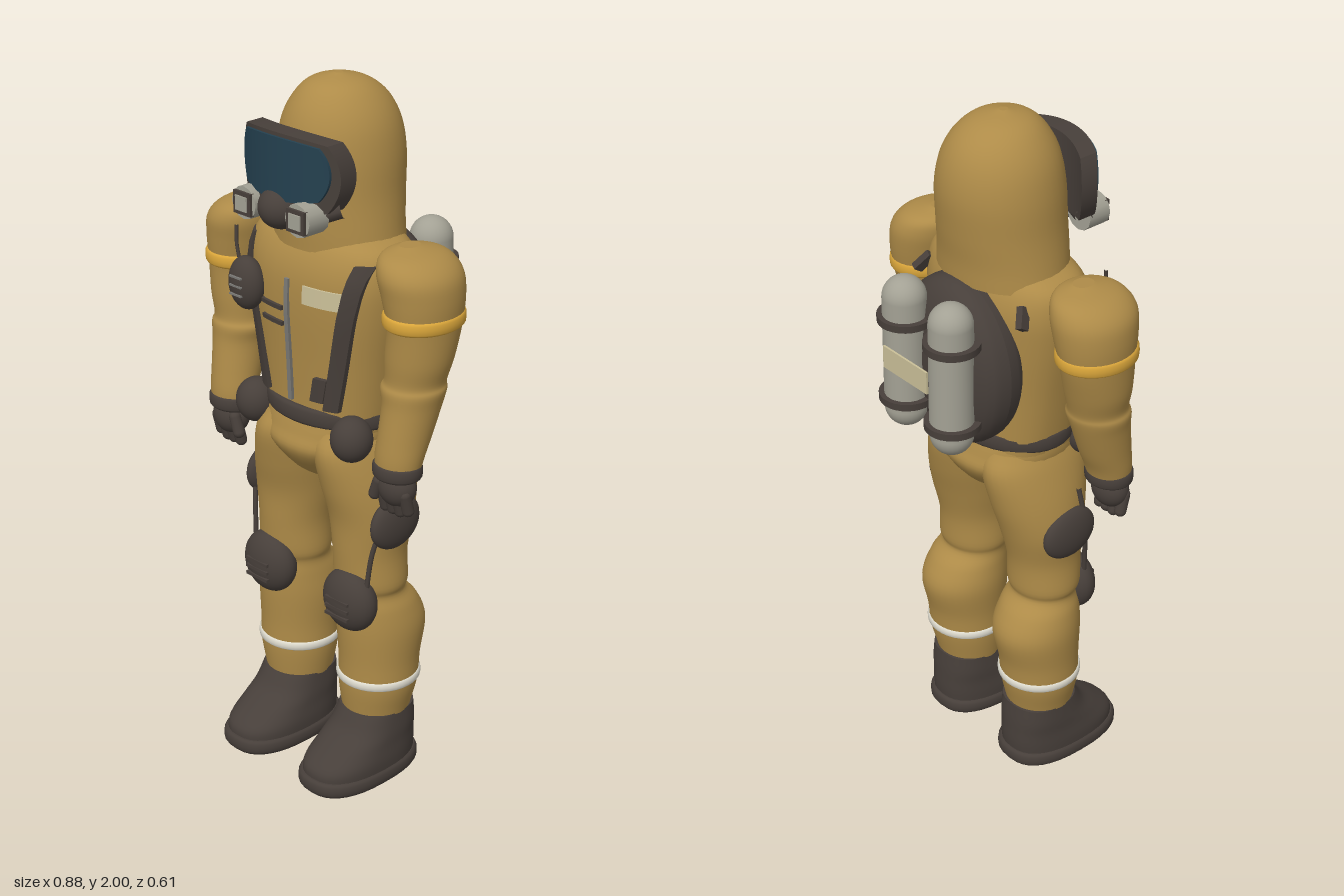
import * as THREE from 'three';

const mat = (name, color) => Object.assign(new THREE.MeshStandardMaterial({ color }), { name });

// Smooth body lofted through elliptical sections [y, cx, cz, rx, rz]; n squares off the ellipse
function loft(sections, n = 2, seg = 36, steps = 5) {
  const curve = (f) => new THREE.CatmullRomCurve3(sections.map(f), false, 'catmullrom');
  const centre = curve((s) => new THREE.Vector3(s[1], s[0], s[2]));
  const radius = curve((s) => new THREE.Vector3(s[3], 0, s[4]));
  const count = (sections.length - 1) * steps;
  const rings = [];
  for (let i = 0; i <= count; i++) rings.push([centre.getPoint(i / count), radius.getPoint(i / count)]);
  // flat ends
  const zero = new THREE.Vector3();
  const first = rings[0], last = rings[count];
  rings.unshift([first[0], zero], first);
  rings.push(last, [last[0], zero]);
  const pos = [], idx = [];
  const pow = (v) => Math.sign(v) * Math.abs(v) ** (2 / n);
  rings.forEach(([c, r], i) => {
    for (let j = 0; j < seg; j++) {
      const a = (j / seg) * Math.PI * 2;
      pos.push(c.x + r.x * pow(Math.cos(a)), c.y, c.z + r.z * pow(Math.sin(a)));
      if (i === rings.length - 1) continue;
      const p = i * seg + j, q = i * seg + ((j + 1) % seg);
      idx.push(p, p + seg, q, q, p + seg, q + seg);
    }
  });
  const g = new THREE.BufferGeometry();
  g.setAttribute('position', new THREE.Float32BufferAttribute(pos, 3));
  g.setIndex(idx);
  g.computeVertexNormals();
  return g;
}

// Moves every vertex of a geometry by a rule
function warp(g, rule) {
  const p = g.attributes.position, v = new THREE.Vector3();
  for (let i = 0; i < p.count; i++) {
    rule(v.fromBufferAttribute(p, i));
    p.setXYZ(i, v.x, v.y, v.z);
  }
  g.computeVertexNormals();
  return g;
}

// Rounded panel that curves back to the sides
const bentPanel = (w, h, d, bend) => warp(new THREE.BoxGeometry(2, 2, 1, 24, 16, 1), (v) => {
  const x = v.x * Math.sqrt(1 - 0.3 * v.y * v.y), y = v.y * Math.sqrt(1 - 0.3 * v.x * v.x);
  v.set(x * w, y * h, v.z * d - bend * (x * w) ** 2);
});

const TORSO = [
  [1.06, 0, 0.045, 0.2, 0.15], [1.12, 0, 0.045, 0.208, 0.148], [1.25, 0, 0.048, 0.225, 0.152],
  [1.4, 0, 0.05, 0.248, 0.16], [1.5, 0, 0.048, 0.255, 0.158], [1.57, 0, 0.045, 0.235, 0.135],
  [1.61, 0, 0.04, 0.16, 0.1],
];
const TORSO_N = 2.4;

// Front surface of the torso at x, y
function frontZ(x, y) {
  let i = 0;
  while (i < TORSO.length - 2 && y > TORSO[i + 1][0]) i++;
  const a = TORSO[i], b = TORSO[i + 1], t = THREE.MathUtils.clamp((y - a[0]) / (b[0] - a[0]), 0, 1);
  const mix = (k) => a[k] + (b[k] - a[k]) * t;
  return mix(2) + mix(4) * Math.max(0, 1 - Math.min(1, Math.abs(x) / mix(3)) ** TORSO_N) ** (1 / TORSO_N);
}

// Strip lying on the chest from (x0, y0) to (x1, y1)
const chestStrip = (x0, y0, x1, y1, width, thick) => warp(new THREE.BoxGeometry(1, 1, 1, 6, 12, 1), (v) => {
  const t = v.y + 0.5;
  const x = x0 + (x1 - x0) * t + v.x * width, y = y0 + (y1 - y0) * t;
  v.set(x, y, frontZ(x, y) + 0.003 + v.z * thick);
});

export function createModel() {
  const model = new THREE.Group();
  model.name = 'hazardSuitFigure';
  const suit = mat('suit tan', 0xae8b48), dark = mat('dark rubber', 0x473f3a);
  const glass = mat('visor glass', 0x24404f), metal = mat('pale metal', 0xa3a194);
  const yellow = mat('yellow band', 0xd9a53a), white = mat('white band', 0xdcd9cc);
  const cream = mat('cream label', 0xcabf98), grey = mat('zip grey', 0x7b7a76);

  const add = (name, g, m, x = 0, y = 0, z = 0) => {
    const mesh = new THREE.Mesh(g, m);
    mesh.name = name;
    mesh.position.set(x, y, z);
    model.add(mesh);
    return mesh;
  };
  const ball = (name, m, x, y, z, rx, ry, rz) => {
    const b = add(name, new THREE.SphereGeometry(1, 28, 20), m, x, y, z);
    b.scale.set(rx, ry, rz);
    return b;
  };
  const box = (name, m, x, y, z, w, h, d) => add(name, new THREE.BoxGeometry(w, h, d), m, x, y, z);
  const band = (name, m, y, cx, cz, rx, rz, h) => add(name, loft([
    [y - h, cx, cz, rx - 0.008, rz - 0.008], [y - h * 0.6, cx, cz, rx, rz],
    [y + h * 0.6, cx, cz, rx, rz], [y + h, cx, cz, rx - 0.008, rz - 0.008]], 2, 36, 2), m);
  const tube = (name, m, pts, r) => add(name, new THREE.TubeGeometry(
    new THREE.CatmullRomCurve3(pts.map((p) => new THREE.Vector3(...p))), 16, r, 8), m);

  // Torso, pelvis, hood
  add('torso', loft(TORSO, TORSO_N), suit);
  add('pelvis', loft([[0.875, 0, 0.045, 0.04, 0.06], [0.92, 0, 0.045, 0.1, 0.125], [0.99, 0, 0.045, 0.18, 0.175],
    [1.04, 0, 0.045, 0.2, 0.165], [1.09, 0, 0.045, 0.2, 0.15]], 2.2), suit);
  add('hood', loft([[1.56, 0, 0.03, 0.197, 0.16], [1.62, 0, 0.03, 0.188, 0.163], [1.7, 0, 0.025, 0.178, 0.168],
    [1.8, 0, 0.02, 0.171, 0.17], [1.88, 0, 0.02, 0.154, 0.157], [1.94, 0, 0.022, 0.122, 0.127],
    [1.98, 0, 0.028, 0.078, 0.08], [2, 0, 0.03, 0.012, 0.012]]), suit);

  // Mask
  add('visorFrame', bentPanel(0.178, 0.106, 0.055, 2), dark, 0, 1.785, 0.232);
  add('visorGlass', bentPanel(0.158, 0.084, 0.02, 2), glass, 0, 1.797, 0.257);
  ball('respirator', dark, 0, 1.685, 0.235, 0.062, 0.058, 0.062);

  // Belt, zip, chest gear
  band('belt', dark, 1.095, 0, 0.045, 0.212, 0.163, 0.026);
  add('zip', chestStrip(-0.012, 1.13, -0.008, 1.48, 0.014, 0.012), grey);
  add('namePatch', chestStrip(0.115, 1.425, 0.115, 1.475, 0.13, 0.009), cream);
  ball('radio', dark, -0.165, 1.425, frontZ(-0.165, 1.425) + 0.03, 0.058, 0.075, 0.042);
  for (const y of [1.4, 1.425, 1.45]) box('radioGrille', grey, -0.165, y, frontZ(-0.165, 1.425) + 0.071, 0.045, 0.005, 0.006);
  tube('radioAntenna', dark, [[-0.2, 1.46, 0.2], [-0.215, 1.52, 0.2], [-0.22, 1.57, 0.195]], 0.005);
  for (const y of [1.34, 1.385]) add('radioStrap', chestStrip(-0.07, y, -0.07, y + 0.012, 0.085, 0.012), dark);
  add('chestClip', chestStrip(0.085, 1.15, 0.1, 1.22, 0.04, 0.02), dark);

  // Air pack
  const pack = warp(new THREE.SphereGeometry(1, 36, 28), (v) => {
    v.z = Math.sign(v.z) * Math.abs(v.z) ** 0.75;
    v.set(v.x * 0.205, v.y * 0.245, v.z * 0.105);
  });
  add('airPack', pack, dark, 0, 1.325, -0.115);
  box('packLabel', cream, 0, 1.36, -0.303, 0.18, 0.065, 0.006);

  for (const s of [-1, 1]) {
    // Mask filters
    const filter = add('filter', new THREE.CylinderGeometry(0.045, 0.045, 0.07, 12), metal, s * 0.1, 1.68, 0.24);
    filter.rotation.x = Math.PI / 2;
    box('filterCap', dark, s * 0.1, 1.68, 0.276, 0.064, 0.062, 0.014);
    box('filterFace', metal, s * 0.1, 1.68, 0.283, 0.042, 0.04, 0.008);
    tube('filterArm', dark, [[s * 0.03, 1.685, 0.23], [s * 0.1, 1.68, 0.215], [s * 0.155, 1.7, 0.17]], 0.024);

    // Harness and belt pouches
    add('chestStrap', chestStrip(s * 0.125, 1.13, s * 0.208, 1.55, 0.04, 0.022), dark);
    const clip = box('shoulderClip', dark, s * 0.2, 1.515, -0.075, 0.02, 0.06, 0.03);
    clip.rotation.set(0.6, 0, s * 0.5);
    ball('beltPouch', dark, s * 0.185, 1.065, 0.165, 0.058, 0.064, 0.058);

    // Air tanks
    add('airTank', new THREE.CapsuleGeometry(0.06, 0.33, 10, 28), metal, s * 0.095, 1.345, -0.227);
    for (const y of [1.21, 1.45]) add('tankBand', new THREE.CylinderGeometry(0.077, 0.077, 0.02, 28), dark, s * 0.095, y, -0.224);

    // Arm
    const ax = (list) => list.map(([y, x, ...r]) => [y, s * x, ...r]);
    add('arm', loft(ax([[1.0, 0.322, 0.132, 0.062, 0.055], [1.05, 0.323, 0.125, 0.068, 0.063],
      [1.11, 0.326, 0.108, 0.071, 0.073], [1.19, 0.33, 0.088, 0.077, 0.082], [1.235, 0.328, 0.08, 0.087, 0.088],
      [1.26, 0.33, 0.075, 0.08, 0.084], [1.32, 0.336, 0.068, 0.088, 0.094], [1.41, 0.342, 0.057, 0.09, 0.107],
      [1.49, 0.335, 0.055, 0.101, 0.118], [1.55, 0.322, 0.057, 0.103, 0.12], [1.59, 0.302, 0.056, 0.08, 0.095],
      [1.61, 0.285, 0.055, 0.025, 0.03]])), suit);
    band('armBand', yellow, 1.43, s * 0.34, 0.057, 0.1, 0.117, 0.02);
    band('gloveCuff', dark, 1.015, s * 0.322, 0.131, 0.07, 0.062, 0.022);

    // Gloved hand
    ball('palm', dark, s * 0.325, 0.965, 0.135, 0.058, 0.055, 0.046);
    for (let i = 0; i < 4; i++) {
      const finger = add('finger', new THREE.CapsuleGeometry(0.017, 0.05, 6, 12), dark,
        s * (0.286 + i * 0.027), 0.922 + (i === 3 ? 0.01 : 0), 0.142);
      finger.rotation.x = 0.25;
    }
    const thumb = add('thumb', new THREE.CapsuleGeometry(0.017, 0.045, 6, 12), dark, s * 0.275, 0.955, 0.16);
    thumb.rotation.z = -s * 0.35;

    // Leg
    add('leg', loft(ax([[0.16, 0.156, 0.04, 0.09, 0.09], [0.21, 0.157, 0.038, 0.1, 0.1], [0.28, 0.16, 0.034, 0.112, 0.112],
      [0.36, 0.16, 0.03, 0.113, 0.117], [0.46, 0.158, 0.022, 0.119, 0.13], [0.53, 0.155, 0.035, 0.11, 0.115],
      [0.575, 0.15, 0.052, 0.098, 0.092], [0.61, 0.15, 0.055, 0.106, 0.1], [0.7, 0.148, 0.056, 0.102, 0.106],
      [0.8, 0.145, 0.047, 0.115, 0.122], [0.9, 0.13, 0.045, 0.116, 0.148], [1.0, 0.112, 0.045, 0.104, 0.165],
      [1.06, 0.1, 0.045, 0.09, 0.14]])), suit);
    band('ankleBand', white, 0.3, s * 0.16, 0.033, 0.118, 0.119, 0.014);

    // Knee pad
    ball('kneePad', dark, s * 0.16, 0.565, 0.145, 0.091, 0.092, 0.056);
    for (let i = -1; i <= 1; i++) box('kneeRidge', dark, s * 0.16, 0.555 + i * 0.024, 0.194, 0.085, 0.009, 0.016);

    // Thigh pouch with its strap
    ball('thighPouch', dark, s * 0.246, 0.805, 0.06, 0.032, 0.078, 0.09);
    tube('thighStrap', dark, [[s * 0.238, 0.93, 0.1], [s * 0.25, 0.82, 0.115], [s * 0.232, 0.72, 0.135], [s * 0.22, 0.6, 0.145]], 0.007);

    // Boot
    add('boot', loft(ax([[0.03, 0.157, 0.11, 0.11, 0.18], [0.07, 0.157, 0.105, 0.11, 0.178], [0.11, 0.157, 0.08, 0.105, 0.152],
      [0.15, 0.157, 0.052, 0.102, 0.122], [0.2, 0.157, 0.037, 0.096, 0.102]]), 2.4), dark);
    add('bootSole', loft(ax([[0, 0.157, 0.11, 0.108, 0.183], [0.012, 0.157, 0.11, 0.117, 0.191],
      [0.035, 0.157, 0.11, 0.117, 0.191], [0.045, 0.157, 0.11, 0.11, 0.184]]), 2.5, 36, 2), dark);
  }
  return model;
}
